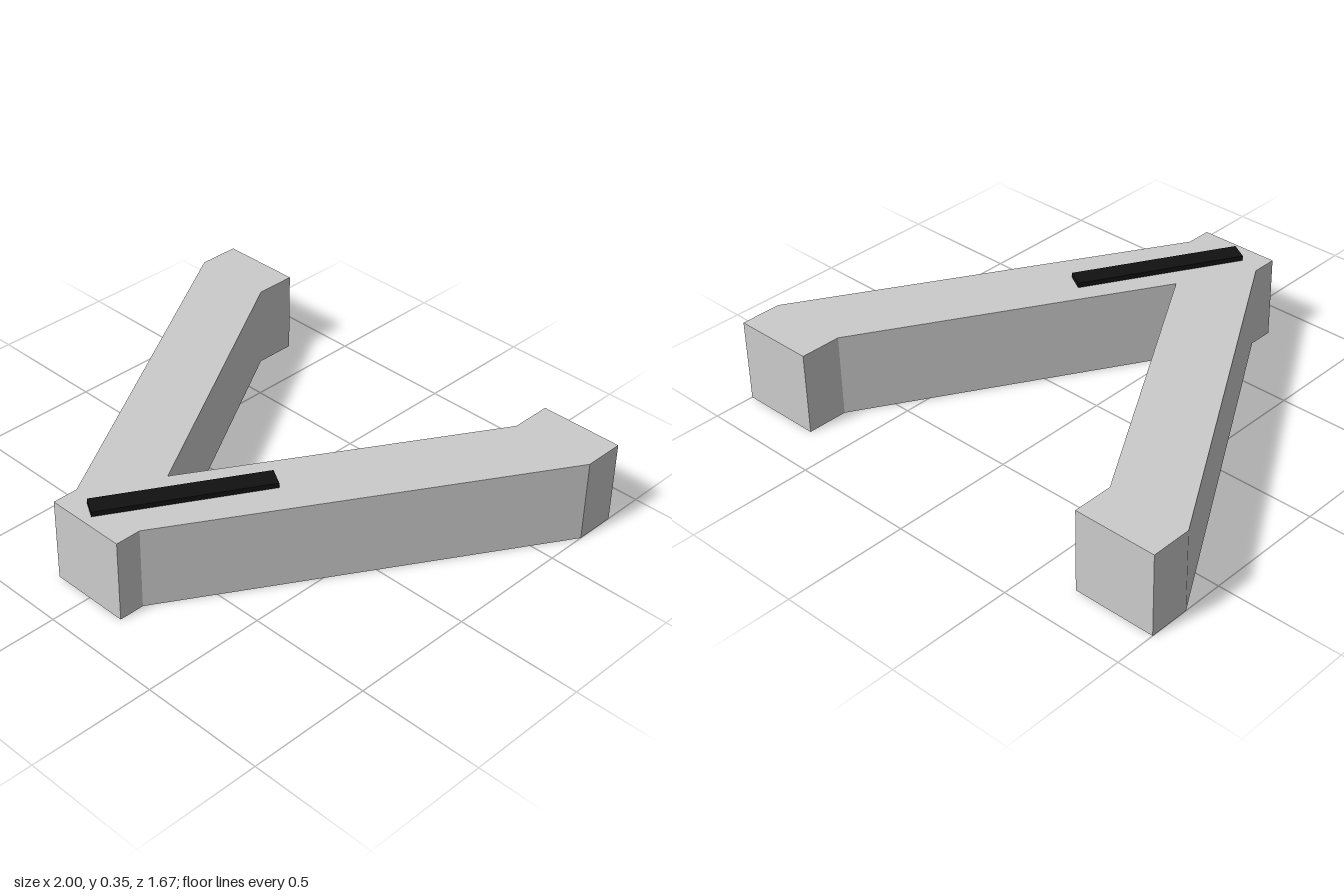
import * as THREE from 'three';

const HEIGHT = 0.333;

export function createModel() {
  const group = new THREE.Group();

  // V-shaped body: right half of the outline as [x, z], mirrored for the left half
  const half = [[0.165, 0.833], [0.165, 0.73], [1, -0.667], [1, -0.833], [0.665, -0.833], [0.665, -0.667]];
  const mirrored = half.map(([x, z]) => [-x, z]).reverse();
  const outline = [...half, [0, 0.45], ...mirrored];
  const shape = new THREE.Shape(outline.map(([x, z]) => new THREE.Vector2(x, -z)));
  const bodyGeometry = new THREE.ExtrudeGeometry(shape, { depth: HEIGHT, bevelEnabled: false });
  bodyGeometry.rotateX(-Math.PI / 2);
  const body = new THREE.Mesh(
    bodyGeometry,
    new THREE.MeshStandardMaterial({ color: 0xcccccc, flatShading: true })
  );
  body.name = 'body';
  group.add(body);

  // Dark strip lying along one arm, sunk slightly into the top
  const strip = new THREE.Mesh(
    new THREE.BoxGeometry(0.08, 0.04, 0.667),
    new THREE.MeshStandardMaterial({ color: 0x111111, flatShading: true })
  );
  strip.name = 'topStrip';
  strip.position.set(0.123, HEIGHT, 0.487);
  strip.rotation.y = -Math.PI / 6;
  group.add(strip);

  return group;
}
